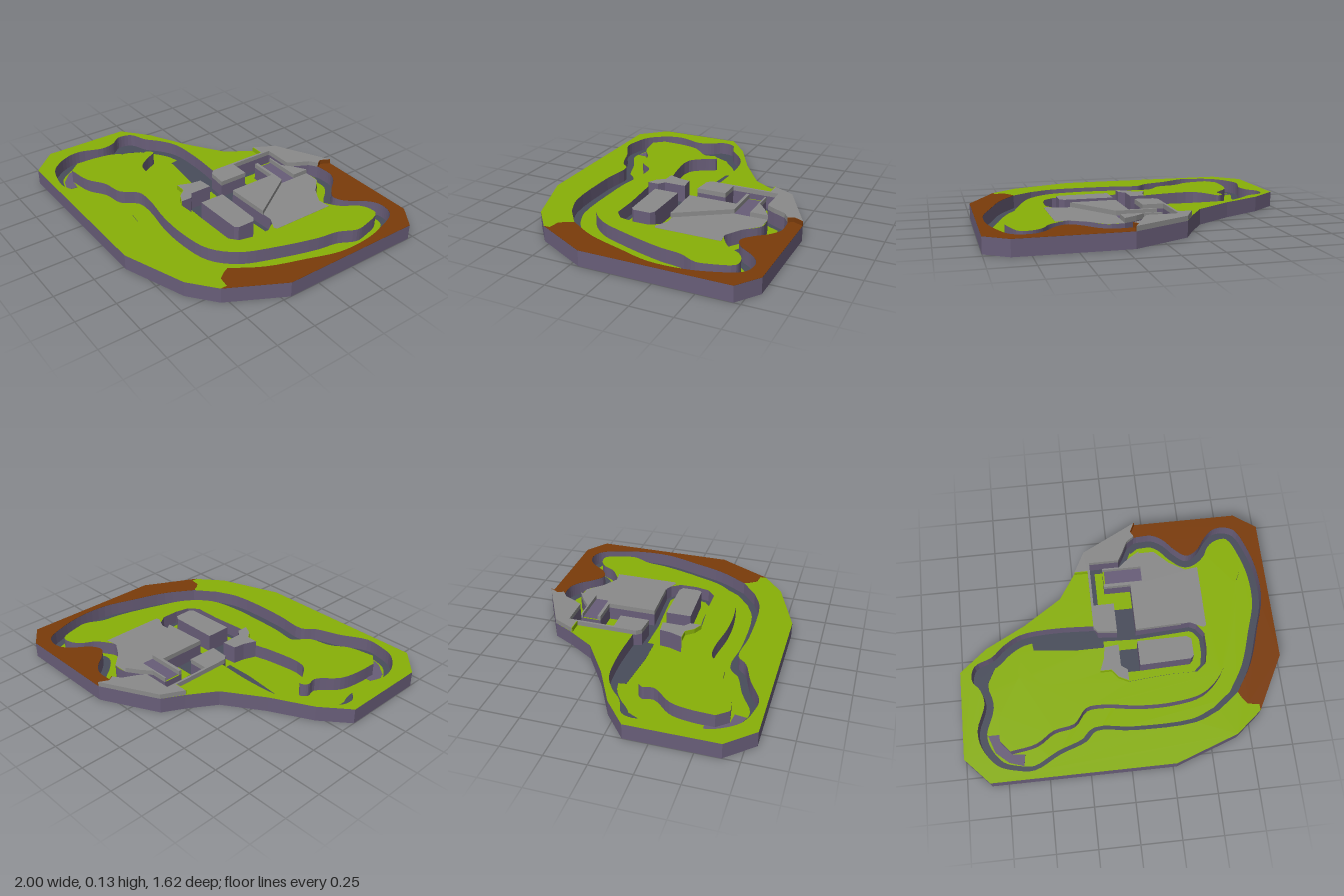
import * as THREE from 'three';

const mat = (name, color) => {
  const m = new THREE.MeshStandardMaterial({ color });
  m.name = name;
  return m;
};

// Rounds a run of plan points with a spline
const smooth = pts => new THREE.CatmullRomCurve3(pts.map(([x, z]) => new THREE.Vector3(x, 0, z)))
  .getPoints((pts.length - 1) * 4).map(v => [v.x, v.z]);

// Plan points are [x, z] in hundredths of a unit.
const outline = [[-100, 10], [-83, -4], [-58, -17], [-34, -33], [-23, -50], [-16, -63], [19, -81],
  [86, -81], [100, -71], [100, 20], [82, 54], [66, 67], [27, 81], [-85, 81], [-100, 65]];

// Outer edge of the channel, clockwise from the crossing
const pitEdge = [[0, -25], [-13, -25], [-13, -55], [6, -55], [9, -60], [13, -68], [18, -71.5]];
const eastEdge = smooth([[20, -72], [30, -72], [37, -68], [44, -60], [51, -55], [58, -58], [65, -67],
  [71, -72], [78, -73], [85, -70], [91, -57], [95, -40], [95, -20], [89, 0], [81, 23], [70, 41]]);
const westEdge = smooth([[57, 51], [42, 57], [3, 58], [-19, 56], [-26, 62], [-42, 68], [-58, 76],
  [-69, 75], [-80, 71], [-89, 59], [-91, 48], [-86, 32], [-88, 23], [-93, 16], [-91, 7], [-80, 2],
  [-72, -5], [-61, -11], [-40, -13], [-14, -12]]);
const channel = [...pitEdge, ...eastEdge, ...westEdge, [-12, -7], [0, -6]];

const hairpin = [[4, 27], [30, 25], [47, 25], [53, 20], [55, 11], [55, 0], [51, -6], [47, -8]];
const island = [[12, -6], [12, -37], [-5, -37], [-5, -50], [6, -50], [12, -55],
  ...smooth([[20, -60], [30, -60], [39, -51], [49, -45], [56, -48], [62, -53], [66, -60], [72, -64],
    [79, -64], [84, -51], [85, -43], [80, -32], [78, -19], [70, 8], [62, 27], [49, 39], [30, 43], [9, 43],
    [-13, 40], [-24, 41], [-32, 50], [-45, 53], [-56, 60], [-72, 63]]),
  ...smooth([[-78, 56], [-77, 40], [-74, 29], [-64, 17], [-65, 10], [-61, 7], [-57, 14], [-49, 23],
    [-26, 22], [-13, 19]]),
  [-6, 19], [-2, 24], ...hairpin];

const toVectors = pts => pts.map(([x, z]) => new THREE.Vector2(x / 100, -z / 100));

// Prism over a plan polygon, from y0 to y1; a hole runs the same way round as the polygon
function prism(pts, y0, y1, hole) {
  const shape = new THREE.Shape(toVectors(pts));
  if (hole) shape.holes.push(new THREE.Path(toVectors(hole).reverse()));
  return new THREE.ExtrudeGeometry(shape, { depth: y1 - y0, bevelEnabled: false })
    .rotateX(-Math.PI / 2).translate(0, y0, 0);
}

// Flat band running along the right-hand side of a path
function band(pts, width, y) {
  const p = pts.map(([x, z]) => new THREE.Vector2(x / 100, z / 100));
  const pos = [], index = [];
  p.forEach((c, i) => {
    const d1 = c.clone().sub(p[Math.max(i - 1, 0)]).normalize();
    const d2 = p[Math.min(i + 1, p.length - 1)].clone().sub(c).normalize();
    const d = d1.clone().add(d2).normalize();
    const ref = d2.lengthSq() ? d2 : d1;
    const w = width / Math.max(d.dot(ref), 0.5);
    pos.push(c.x, y, c.y, c.x - d.y * w, y, c.y + d.x * w);
    if (i < p.length - 1) {
      const a = i * 2;
      index.push(a, a + 1, a + 2, a + 1, a + 3, a + 2);
    }
  });
  const g = new THREE.BufferGeometry();
  g.setAttribute('position', new THREE.Float32BufferAttribute(pos, 3));
  g.setIndex(index);
  g.computeVertexNormals();
  return g;
}

export function createModel() {
  const green = mat('grass', 0x88b007);
  const brown = mat('earth', 0x7a3b0a);
  const grey = mat('concrete', 0x8a8a8a);
  const slate = mat('asphalt', 0x484c5a);
  const purple = mat('wall', 0x685d78);

  const group = new THREE.Group();
  const add = (name, geometry, material) => {
    const m = new THREE.Mesh(geometry, material);
    m.name = name;
    group.add(m);
  };
  const FLOOR = 0.01, TOP = 0.097, RAISED = 0.127, PAINT = 0.0015;

  // Base slab, rim around the channel, and the central island
  add('baseSlab', prism(outline, 0, FLOOR), [slate, purple]);
  add('outerRim', prism(outline, FLOOR, TOP, channel), [green, purple]);
  add('island', prism(island, FLOOR, TOP), [green, purple]);
  add('channelFloor', prism(channel, FLOOR, FLOOR + PAINT), green);

  // Asphalt strips along the outer side of the lane
  const roadY = FLOOR + 2 * PAINT;
  add('narrowRoad', band(pitEdge.slice(0, 6), 0.03, roadY), slate);
  add('mainRoad', band([...pitEdge.slice(5), ...eastEdge, ...westEdge], 0.045, roadY), slate);
  add('hairpinRoad', band([[-12, -7], [12, -6], ...hairpin.slice().reverse()], 0.027, roadY), slate);
  const roadPlate = (name, pts, material, y = roadY) => add(name, prism(pts, FLOOR, y), material);
  roadPlate('wideRoad', [[-55, -10], [-14, -12], [-9, -6], [-9, 0], [-26, 0], [-54, -3]], slate);
  roadPlate('wideBend', [[-91, 7], [-78, 4], [-84, 16], [-84, 31], [-87, 31], [-88, 23], [-93, 16]], slate);
  roadPlate('crossingRoadBack', [[0, -25], [12, -25], [12, -6], [0, -6]], slate);
  roadPlate('crossingRoadFront', [[0, 3], [12, 3], [12, 18], [0, 18]], slate);
  roadPlate('startPatch', [[-86, 50], [-77, 50], [-77, 56], [-72, 63], [-64, 64], [-65, 71], [-74, 68], [-82, 61]],
    purple, roadY + PAINT);

  // Earth on the outer rim
  add('earthArea', prism([...eastEdge, [72, 45], [75, 49], [82, 50], [82, 54],
    [100, 20], [100, -71], [86, -81], [19, -81], [16, -75], [18, -71.5]], TOP, TOP + PAINT), brown);

  // Paved ground and sunken purple lane on the island
  add('pavedGround', prism([[20, -60], [30, -60], [39, -51], [49, -45], [57, -46], [57, -5], [55, -4],
    [51, -6], [47, -8], [12, -6], [12, -39], [20, -39]], TOP, TOP + PAINT), grey);
  add('recessFloor', prism([[-4, -49], [20, -49], [20, -39], [-4, -39]], TOP, TOP + PAINT), purple);

  // Raised concrete platforms
  add('backPlatform', prism([[-23, -49.5], [-16, -63], [19, -81], [16, -75], [18, -71.5], [13, -68], [9, -60],
    [6, -55], [-13, -55], [-13, -25], [0, -25], [0, -6], [-12, -7], [-14.5, -10], [-14.5, -49.5]],
  TOP, RAISED), grey);
  add('centrePlatform', prism([[12, -6], [41, -7], [20, -39], [-5, -39], [-5, -37], [12, -37]], TOP, RAISED), grey);
  add('northPlatform', prism([[-5, -50], [6, -50], [12, -55], [20, -60], [20, -49], [-5, -49]], TOP, RAISED), grey);
  add('platformGrassEdge', prism([[-23, -49.5], [-14.5, -49.5], [-14.5, -49], [-23, -49]], TOP, RAISED), green);
  add('platformEarthEdge', prism([[19, -81], [16, -75], [18, -71.5], [18.5, -71.5], [16.5, -75], [19.5, -81]],
    TOP, RAISED), brown);

  // Blocks inside the hairpin, split by the crossing
  add('longBlock', prism([[12, 2], [43, 2], [46, 4], [46, 15], [44, 17], [12, 18]], FLOOR, RAISED), [grey, purple]);
  add('shortBlock', prism([[-13, 19], [-6, 19], [-2, 24], [4, 27], [4, 20], [0, 17], [0, 3], [-9, 4], [-10, 11]],
    FLOOR, RAISED), [grey, purple]);
  add('shortBlockGrassEdge', prism([[-13, 19], [-6, 19], [-2, 24], [4, 27], [3.8, 27.3], [-2.2, 24.3],
    [-6.2, 19.3], [-13, 19.3]], TOP, RAISED), green);
  return group;
}
